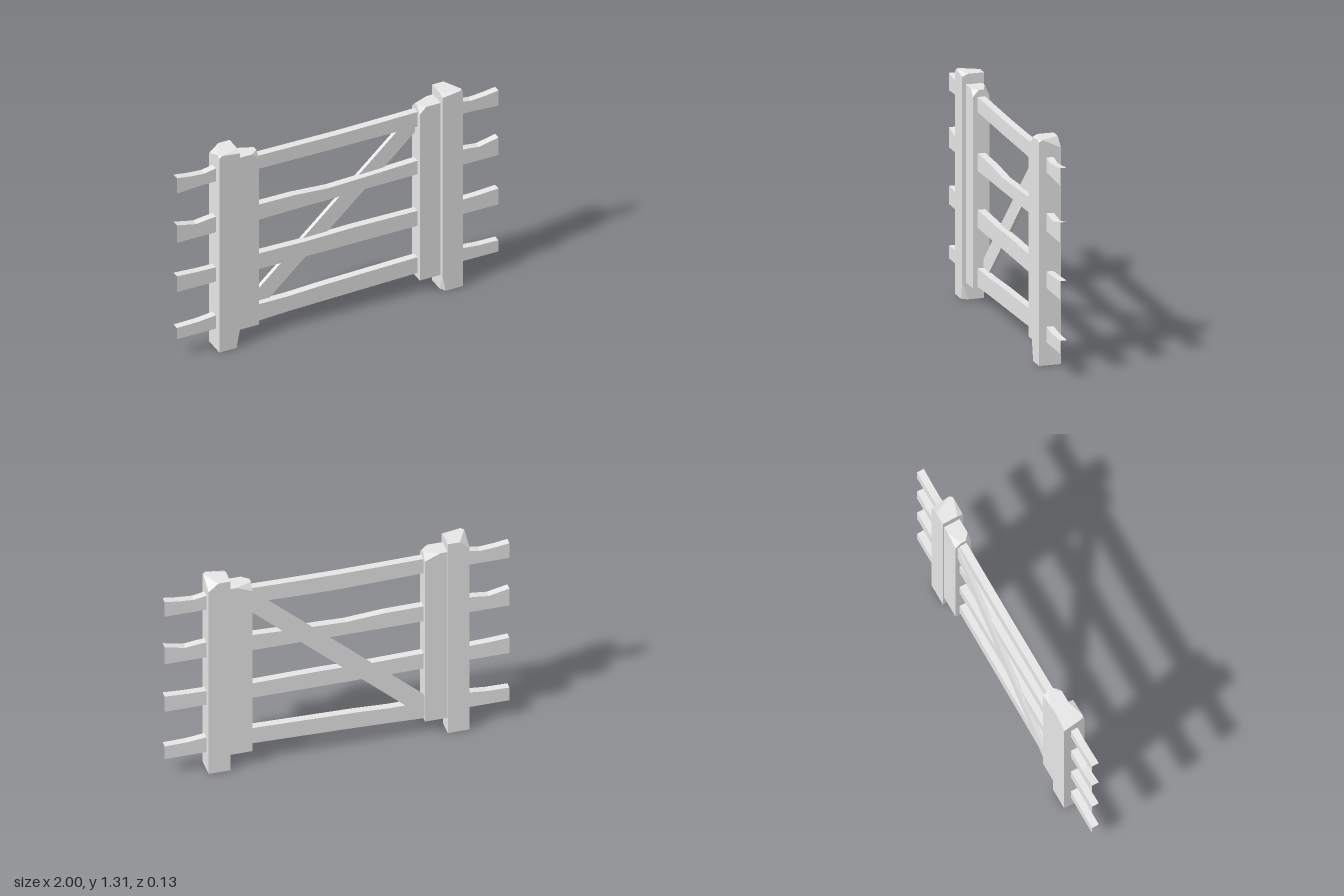
import * as THREE from 'three';
import { ConvexGeometry } from 'three/addons/geometries/ConvexGeometry.js';

const wood = new THREE.MeshStandardMaterial({ color: 0xe7e7e7 });
wood.name = 'plain wood';

function part(name, geometry) {
  const mesh = new THREE.Mesh(geometry, wood);
  mesh.name = name;
  return mesh;
}

// Post with chipped corners, given as points for the right-hand side (+x)
function post(name, points, side) {
  return part(name, new ConvexGeometry(points.map(([x, y, z]) => new THREE.Vector3(side * x, y, z))));
}

// Open-ended wavy board; each section is [x, top, bottom at front, bottom at back]
function board(name, sections, front, back) {
  const rings = sections.map(([x, top, lowFront, lowBack]) => [
    [x, top, front], [x, top, back], [x, lowBack, back], [x, lowFront, front],
  ]);
  const positions = [];
  for (let i = 0; i < rings.length - 1; i++) {
    const [p, q] = [rings[i], rings[i + 1]];
    for (let j = 0; j < 4; j++) {
      const k = (j + 1) % 4;
      positions.push(...p[j], ...q[j], ...q[k], ...p[j], ...q[k], ...p[k]);
    }
  }
  const geometry = new THREE.BufferGeometry();
  geometry.setAttribute('position', new THREE.Float32BufferAttribute(positions, 3));
  geometry.computeVertexNormals();
  return part(name, geometry);
}

const outerPost = [
  // top: front inner nick and large back outer chip
  [0.63, 1.295, 0.064], [0.63, 1.31, 0.03], [0.757, 1.31, 0.045], [0.757, 1.297, 0.064], [0.74, 1.31, 0.064],
  [0.63, 1.31, -0.064], [0.70, 1.31, -0.064], [0.757, 1.26, -0.064],
  // bottom: front inner corner split away
  [0.63, 0.11, 0.064], [0.65, 0, 0.064], [0.63, 0, 0.03],
  [0.757, 0, 0.064], [0.757, 0, -0.064], [0.63, 0, -0.064],
];

const gatePost = [
  // top: chipped on the front and back inner corners
  [0.63, 1.25, 0.043], [0.54, 1.25, 0.043], [0.50, 1.21, 0.043], [0.50, 1.25, 0.01],
  [0.63, 1.25, -0.055], [0.59, 1.25, -0.055], [0.50, 1.21, -0.055], [0.50, 1.25, -0.02],
  [0.63, 0.10, 0.043], [0.50, 0.10, 0.043], [0.63, 0.10, -0.055], [0.50, 0.10, -0.055],
];

const gateRails = [
  [[-0.51, 0.215, 0.105, 0.105], [-0.3, 0.215, 0.115, 0.113], [-0.1, 0.225, 0.12, 0.12], [0.51, 0.24, 0.135, 0.135]],
  [[-0.51, 0.555, 0.45, 0.45], [-0.2, 0.55, 0.45, 0.45], [0.1, 0.555, 0.45, 0.45], [0.51, 0.55, 0.45, 0.45]],
  [[-0.51, 0.882, 0.78, 0.778], [-0.27, 0.88, 0.785, 0.778], [-0.05, 0.864, 0.787, 0.778], [0.25, 0.875, 0.793, 0.78], [0.51, 0.886, 0.795, 0.78]],
  [[-0.51, 1.21, 1.122, 1.112], [0, 1.205, 1.117, 1.10], [0.3, 1.208, 1.117, 1.105], [0.51, 1.212, 1.113, 1.113]],
];

const stubRails = [
  [[0.74, 0.226, 0.135, 0.122], [0.87, 0.212, 0.135, 0.122], [1, 0.21, 0.135, 0.122]],
  [[0.74, 0.545, 0.45, 0.45], [0.87, 0.548, 0.45, 0.45], [1, 0.556, 0.45, 0.45]],
  [[0.74, 0.884, 0.78, 0.78], [0.80, 0.88, 0.78, 0.78], [0.88, 0.87, 0.78, 0.78], [1, 0.897, 0.78, 0.78]],
  [[0.74, 1.21, 1.12, 1.11], [0.83, 1.193, 1.12, 1.11], [0.92, 1.2, 1.115, 1.11], [1, 1.212, 1.11, 1.11]],
];

export function createModel() {
  const model = new THREE.Group();
  model.name = 'fence gate';

  // Posts and the short fence rails outside them
  for (const side of [1, -1]) {
    const label = side > 0 ? 'left' : 'right';
    model.add(post(label + 'FencePost', outerPost, side), post(label + 'GatePost', gatePost, side));
    stubRails.forEach((rail, i) => {
      const sections = side > 0 ? rail : rail.map(([x, ...ys]) => [-x, ...ys]).reverse();
      model.add(board(label + 'FenceRail' + (i + 1), sections, 0.021, -0.021));
    });
  }

  // Gate rails
  gateRails.forEach((rail, i) => model.add(board('gateRail' + (i + 1), rail, 0.015, -0.029)));

  // Diagonal brace behind the rails
  model.add(board('diagonalBrace', [[-0.51, 0.26, 0.115, 0.115], [0.51, 1.205, 1.065, 1.065]], -0.02, -0.044));
  return model;
}
